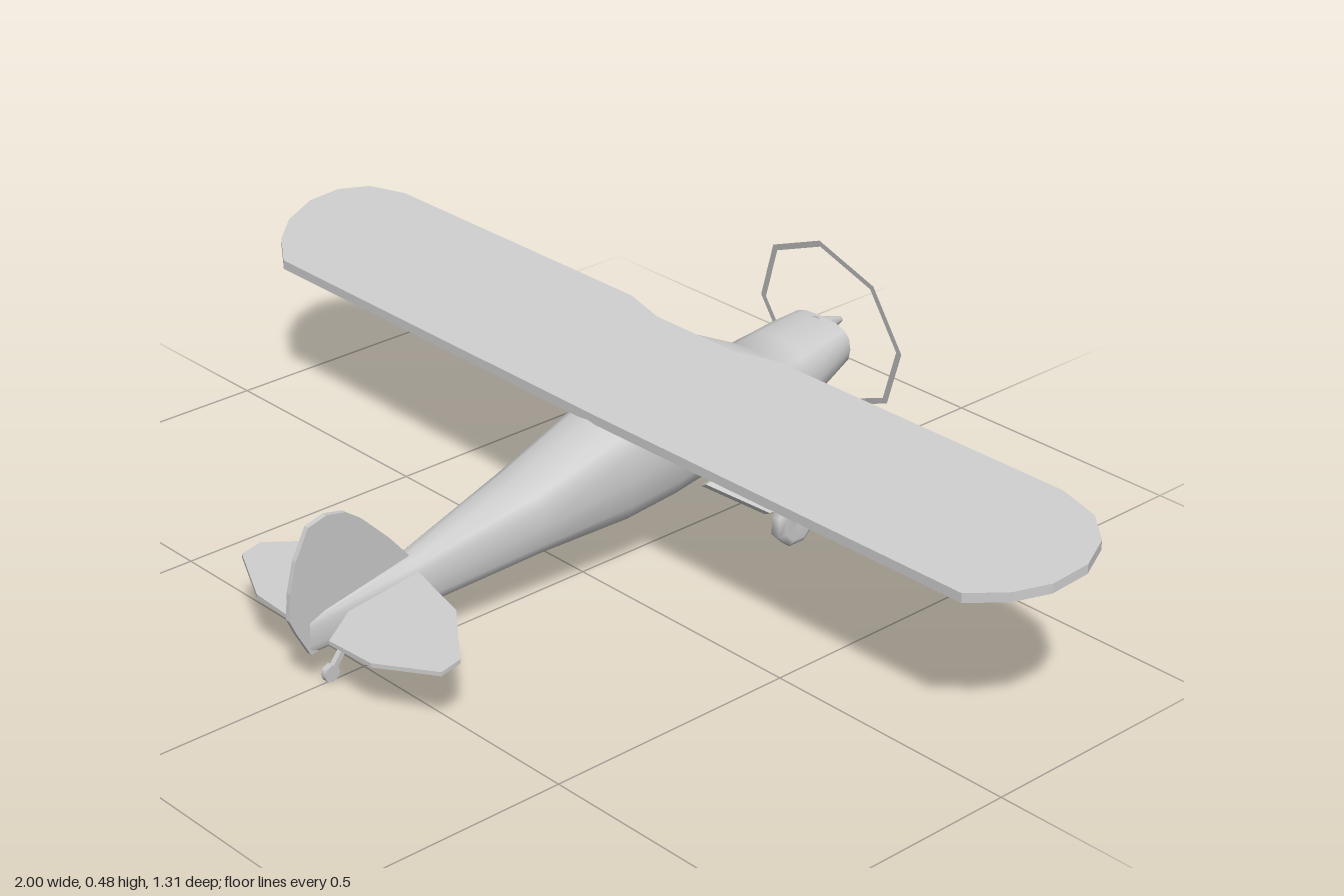
import * as THREE from 'three';

const material = new THREE.MeshStandardMaterial({ color: 0xcccccc, side: THREE.DoubleSide });

function part(parent, name, geometry) {
  const mesh = new THREE.Mesh(geometry, material);
  mesh.name = name;
  parent.add(mesh);
  return mesh;
}

// Thin horizontal surface: half outline [x, z] mirrored over x, sheared so its height follows heightAt(z)
function slab(half, thickness, heightAt) {
  const points = half.concat(half.filter(p => p[0] > 0).reverse().map(([x, z]) => [-x, z]));
  const shape = new THREE.Shape(points.map(([x, z]) => new THREE.Vector2(x, -z)));
  const g = new THREE.ExtrudeGeometry(shape, { depth: thickness, bevelEnabled: false });
  g.rotateX(-Math.PI / 2);
  const pos = g.attributes.position;
  for (let i = 0; i < pos.count; i++) pos.setY(i, pos.getY(i) + heightAt(pos.getZ(i)));
  g.computeVertexNormals();
  return g;
}

// Rounded-box cross-sections [z, bottom, top, halfWidth] lofted from nose to tail
function loft(sections, sides, power) {
  const verts = [], index = [];
  for (const [z, bottom, top, w] of sections) {
    for (let j = 0; j < sides; j++) {
      const a = j / sides * Math.PI * 2, c = Math.cos(a), s = Math.sin(a);
      const soft = v => Math.sign(v) * Math.abs(v) ** (2 / power);
      verts.push(w * soft(c), (top + bottom) / 2 + (top - bottom) / 2 * soft(s), z);
    }
  }
  for (let i = 0; i < sections.length - 1; i++) {
    for (let j = 0; j < sides; j++) {
      const k = (j + 1) % sides, a = i * sides, b = a + sides;
      index.push(a + j, a + k, b + j, a + k, b + k, b + j);
    }
  }
  const g = new THREE.BufferGeometry();
  g.setAttribute('position', new THREE.Float32BufferAttribute(verts, 3));
  g.setIndex(index);
  g.computeVertexNormals();
  return g;
}

export function createModel() {
  const plane = new THREE.Group();
  plane.name = 'airplane';

  // Fuselage: nose, windscreen rise, cabin, tapering tail
  part(plane, 'fuselage', loft([
    [-0.592, 0.24, 0.326, 0.078],
    [-0.53, 0.205, 0.323, 0.085],
    [-0.477, 0.175, 0.317, 0.09],
    [-0.42, 0.162, 0.31, 0.094],
    [-0.285, 0.135, 0.378, 0.103],
    [-0.15, 0.114, 0.343, 0.104],
    [-0.04, 0.10, 0.313, 0.094],
    [0.15, 0.10, 0.247, 0.072],
    [0.40, 0.08, 0.183, 0.033],
    [0.615, 0.07, 0.14, 0.006],
  ], 16, 2.7));

  // Slightly recessed nose plate
  part(plane, 'nosePlate', loft([
    [-0.58, 0.275, 0.305, 0.012],
    [-0.592, 0.24, 0.326, 0.078],
  ], 16, 2.7));

  // Main wing, rising toward the leading edge
  const wing = slab([
    [0, -0.27], [0.1, -0.27], [0.19, -0.29], [0.845, -0.29], [0.93, -0.27],
    [0.98, -0.23], [1.0, -0.175], [0.985, -0.11], [0.945, -0.06], [0.88, -0.015], [0, -0.01],
  ], 0.018, z => 0.297 - 0.27 * z);
  part(plane, 'wing', wing);

  // Horizontal tail
  part(plane, 'tailplane', slab([
    [0, 0.4], [0.03, 0.4], [0.165, 0.43], [0.27, 0.51], [0.27, 0.55],
    [0.155, 0.605], [0.05, 0.61], [0.012, 0.535], [0, 0.53],
  ], 0.008, z => 0.153 - 0.215 * (z - 0.4)));

  // Upright fin and rudder, drawn as [z, y]
  const finShape = new THREE.Shape([
    [0.40, 0.183], [0.44, 0.23], [0.495, 0.285], [0.533, 0.312], [0.572, 0.32], [0.61, 0.31],
    [0.638, 0.256], [0.652, 0.2], [0.656, 0.15], [0.642, 0.12], [0.614, 0.07], [0.5, 0.1],
  ].map(p => new THREE.Vector2(-p[0], p[1])));
  const fin = new THREE.ExtrudeGeometry(finShape, { depth: 0.01, bevelEnabled: false });
  fin.translate(0, 0, -0.005).rotateY(Math.PI / 2);
  // rotation sends shape x to -z
  part(plane, 'fin', fin);

  // Spinner
  const spinner = part(plane, 'spinner', new THREE.CylinderGeometry(0.006, 0.025, 0.065, 10));
  spinner.rotation.x = -Math.PI / 2;
  spinner.position.set(0, 0.303, -0.612);

  // Flat eight-sided propeller ring, tilted
  const ring = part(plane, 'propellerRing', new THREE.RingGeometry(0.169, 0.182, 8, 1, Math.PI / 2));
  ring.rotation.x = 0.197;
  ring.position.set(0, 0.301, -0.617);

  // Main landing gear on both sides
  for (const side of [1, -1]) {
    const gear = new THREE.Group();
    gear.name = side > 0 ? 'leftGear' : 'rightGear';
    plane.add(gear);

    // Tapered leg plate: root quad, foot quad
    const leg = new THREE.BoxGeometry(1, 1, 1);
    const pos = leg.attributes.position;
    for (let i = 0; i < pos.count; i++) {
      const foot = pos.getY(i) < 0, front = pos.getZ(i) < 0, t = pos.getX(i) * 0.012;
      const x = foot ? 0.163 : 0.085;
      const y = foot ? (front ? 0.065 : 0.078) : (front ? 0.165 : 0.135);
      const z = foot ? (front ? -0.36 : -0.3) : (front ? -0.35 : -0.215);
      pos.setXYZ(i, x + t, y + t * 0.6, z);
    }
    leg.computeVertexNormals();
    part(gear, 'leg', leg).scale.x = side;

    // Wheel with chamfered tread
    const profile = [[0, -0.012], [0.036, -0.016], [0.048, -0.01], [0.048, 0.01], [0.036, 0.016], [0, 0.012]];
    const wheel = part(gear, 'wheel',
      new THREE.LatheGeometry(profile.map(p => new THREE.Vector2(...p)), 8));
    wheel.rotation.set(Math.PI / 8, 0, Math.PI / 2);
    wheel.position.set(side * 0.18, 0.055, -0.35);
  }

  // Tail wheel and its strut
  const strut = part(plane, 'tailStrut', new THREE.BoxGeometry(0.01, 0.07, 0.01));
  strut.rotation.x = -0.65;
  strut.position.set(0, 0.047, 0.55);
  const tailWheel = part(plane, 'tailWheel', new THREE.CylinderGeometry(0.016, 0.016, 0.012, 8));
  tailWheel.rotation.z = Math.PI / 2;
  tailWheel.position.set(0, 0.018, 0.572);

  return plane;
}
